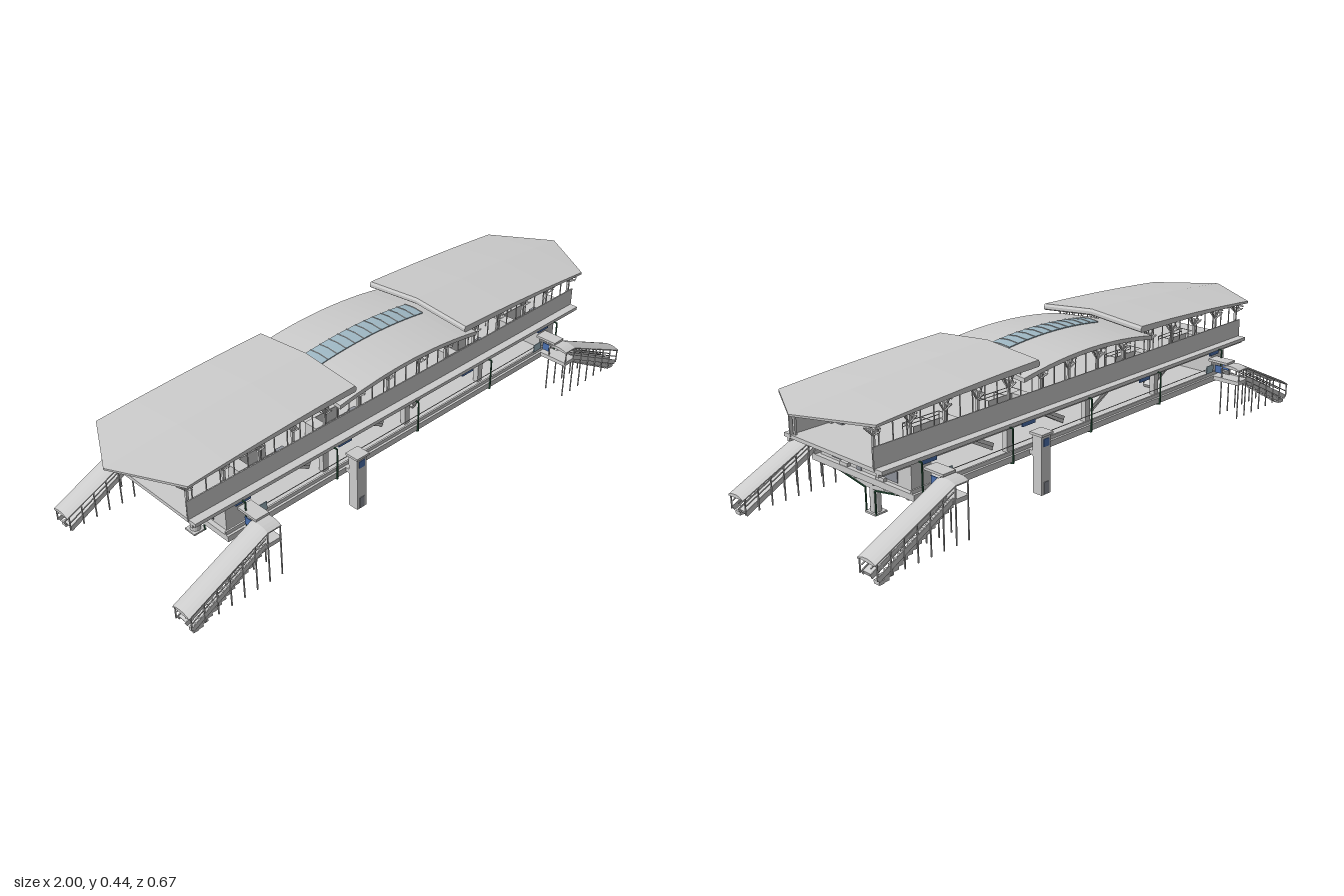
import * as THREE from 'three';

const paint = (color, side = THREE.FrontSide) => new THREE.MeshStandardMaterial({ color, side, flatShading: true });
const GREY = paint(0xcccccc), SHEET = paint(0xcccccc, THREE.DoubleSide);
const BLUE = paint(0x4a6fae), GLASS = paint(0x9fb8c4), GREEN = paint(0x2c5a40), DARK = paint(0x8c9098);
const ENDS = [-1, 1];

function add(parent, name, geo, mat = GREY) {
  const m = new THREE.Mesh(geo, mat);
  m.name = name;
  parent.add(m);
  return m;
}

// Box given by its limits on each axis, in either order
function box(parent, name, x0, x1, y0, y1, z0, z1, mat) {
  const m = add(parent, name, new THREE.BoxGeometry(Math.abs(x1 - x0), Math.abs(y1 - y0), Math.abs(z1 - z0)), mat);
  m.position.set((x0 + x1) / 2, (y0 + y1) / 2, (z0 + z1) / 2);
  return m;
}

// Straight member from p to q
function bar(parent, name, p, q, w = 0.004, h = w, mat = GREY) {
  const a = new THREE.Vector3(...p), b = new THREE.Vector3(...q);
  const m = add(parent, name, new THREE.BoxGeometry(w, h, a.distanceTo(b)), mat);
  m.position.copy(a).lerp(b, 0.5);
  m.lookAt(b);
  return m;
}

// Closed loft through equal-length loops, with capped ends
function loft(loops) {
  const n = loops[0].length, idx = [];
  for (let s = 0; s < loops.length - 1; s++) {
    for (let i = 0; i < n; i++) {
      const a = s * n + i, b = s * n + (i + 1) % n;
      idx.push(a, b, a + n, b, b + n, a + n);
    }
  }
  const last = (loops.length - 1) * n;
  for (let i = 1; i < n - 1; i++) idx.push(0, i + 1, i, last, last + i, last + i + 1);
  const g = new THREE.BufferGeometry();
  g.setAttribute('position', new THREE.Float32BufferAttribute(loops.flat(2), 3));
  g.setIndex(idx);
  const flat = g.toNonIndexed();
  flat.computeVertexNormals();
  return flat;
}

// Roof ridge heights: two rising end roofs and a lower arched middle one
const endRidge = x => { const u = (x - 0.25) / 0.75; return 0.445 - 0.02 * u - 0.025 * u * u; };
const midRidge = x => 0.428 - 0.028 * (x / 0.31) ** 2;
const HALF = 0.217, FALL = 0.02 / HALF;
const roofY = (x, z) => (Math.abs(x) > 0.27 ? endRidge(Math.abs(x)) : midRidge(x)) - FALL * Math.abs(z);

function gable(x, y, w, t) {
  const e = y - FALL * w;
  return [[x, y, 0], [x, e, w], [x, e - t, w], [x, y - t, 0], [x, e - t, -w], [x, e, -w]];
}

function roofs(g) {
  const end = [gable(0.245, endRidge(0.25) - 0.008, HALF, 0.01)];
  for (let i = 0; i <= 14; i++) {
    const x = 0.25 + 0.63 * i / 14;
    end.push(gable(x, endRidge(x), HALF, 0.022 - 0.014 * i / 14));
  }
  end.push(gable(1, endRidge(1), 0.002, 0.006));
  for (const s of ENDS) add(g, 'endRoof', loft(end), SHEET).rotation.y = s > 0 ? 0 : Math.PI;
  const mid = [], glass = [];
  for (let i = 0; i <= 16; i++) {
    const x = -0.31 + 0.62 * i / 16, k = -0.235 + 0.47 * i / 16;
    mid.push(gable(x, midRidge(x), HALF - 0.003, 0.014));
    glass.push(gable(k, midRidge(k) + 0.003, 0.04, 0.005));
  }
  add(g, 'middleRoof', loft(mid), SHEET);
  add(g, 'skylight', loft(glass), GLASS);
  for (let i = 0; i <= 12; i++) {
    const x = -0.235 + 0.47 * i / 12, y = midRidge(x) + 0.004;
    for (const s of ENDS) bar(g, 'skylightBar', [x, y, 0], [x, y - FALL * 0.04, s * 0.04], 0.002);
  }
}

// Roof frames: columns with forked arms and lattice trusses
function roofFrames(g) {
  for (const x of [-0.86, -0.73, -0.6, -0.47, -0.34, -0.2, -0.07, 0.07, 0.2, 0.34, 0.47, 0.6, 0.73, 0.86]) {
    const under = z => roofY(x, z) - 0.02;
    const low = z => Math.min(0.39, under(0) - 0.012) - 0.1 * Math.abs(z);
    for (const s of ENDS) {
      box(g, 'roofColumn', x - 0.004, x + 0.004, 0.255, low(0.178), s * 0.174, s * 0.182);
      for (const d of [-0.03, 0.03]) {
        bar(g, 'roofArm', [x, 0.345, s * 0.178], [x + d, roofY(x + d, 0.178) - 0.018, s * 0.178]);
        bar(g, 'roofStrut', [x, 0.345, s * 0.178], [x, low(0.15), s * (0.178 + d)]);
      }
      bar(g, 'trussTop', [x, under(0), 0], [x, under(0.21), s * 0.21]);
      bar(g, 'trussBottom', [x, low(0), 0], [x, low(0.205), s * 0.205]);
      for (let i = 0; i < 5; i++) {
        const z = i * 0.04;
        bar(g, 'trussWeb', [x, low(z), s * z], [x, under(z + 0.02), s * (z + 0.02)], 0.0025);
        bar(g, 'trussWeb', [x, under(z + 0.02), s * (z + 0.02)], [x, low(z + 0.04), s * (z + 0.04)], 0.0025);
      }
    }
  }
  for (const s of ENDS) for (const z of [-0.19, -0.1, 0.1, 0.19]) {
    for (let i = 0; i < 6; i++) {
      const a = 0.28 + i * 0.1, b = a + 0.1;
      bar(g, 'purlin', [s * a, roofY(a, z) - 0.022, z], [s * b, roofY(b, z) - 0.016, z]);
    }
  }
}

// Platform level: slab, parapets, screens, stair enclosures
function platform(g) {
  box(g, 'platformSlab', -0.87, 0.87, 0.243, 0.255, -0.22, 0.22);
  for (const z of ENDS) {
    box(g, 'parapet', -0.872, 0.872, 0.248, 0.318, z * 0.187, z * 0.191);
    box(g, 'edgeBeam', -0.87, 0.87, 0.232, 0.243, z * 0.195, z * 0.205);
    box(g, 'innerBeam', -0.75, 0.75, 0.23, 0.243, z * 0.08, z * 0.09);
    for (let i = 0; i <= 34; i++) {
      const x = -0.85 + i * 0.05;
      box(g, 'screenPost', x - 0.0015, x + 0.0015, 0.318, roofY(x, 0.189) - 0.008, z * 0.1875, z * 0.1905);
    }
    for (const x of [-0.6, -0.3, 0.3, 0.6]) {
      for (const k of [0.12, 0.167]) box(g, 'stairWall', x - 0.07, x + 0.07, 0.255, 0.303, z * k, z * (k + 0.003));
      box(g, 'stairHead', x - 0.07, x - 0.03, 0.255, 0.303, z * 0.12, z * 0.168);
      box(g, 'cabinet', x + 0.09, x + 0.12, 0.255, 0.283, z * 0.14, z * 0.168, DARK);
      for (const y of [0.292, 0.303]) bar(g, 'rail', [x - 0.07, y, z * 0.076], [x + 0.07, y, z * 0.076], 0.002);
      for (const d of [-0.07, 0, 0.07]) {
        box(g, 'railPost', x + d - 0.001, x + d + 0.001, 0.255, 0.304, z * 0.075, z * 0.077);
        bar(g, 'crossRail', [x + d, 0.303, z * 0.076], [x + d, 0.303, z * 0.12], 0.002);
      }
    }
    for (const x of [-0.285, -0.69, 0.285, 0.69]) box(g, 'sign', x - 0.028, x + 0.028, 0.225, 0.243, z * 0.205, z * 0.209, BLUE);
  }
}

// Concourse: deck, end rooms, inner columns and escalators
function concourse(g) {
  box(g, 'concourseDeck', -0.77, 0.77, 0.137, 0.157, -0.23, 0.23);
  for (const s of ENDS) {
    box(g, 'deckKerb', -0.77, 0.77, 0.157, 0.169, s * 0.216, s * 0.222);
    bar(g, 'deckRail', [-0.66, 0.185, s * 0.219], [0.66, 0.185, s * 0.219], 0.002);
    for (const z of [0.04, 0.09, 0.14, 0.19]) box(g, 'girder', -0.76, 0.76, 0.127, 0.138, s * z - 0.004, s * z + 0.004);
    box(g, 'endRoom', s * 0.68, s * 0.755, 0.157, 0.243, -0.205, 0.205);
    const panel = (name, y0, y1, z0, z1, mat) => box(g, name, s * 0.755, s * 0.758, y0, y1, s * z0, s * z1, mat);
    panel('endSign', 0.202, 0.232, -0.055, 0.055, BLUE);
    panel('endDoor', 0.157, 0.192, 0.013, 0.033, DARK);
    panel('endWindow', 0.165, 0.207, 0.088, 0.148, DARK);
    panel('endWindow', 0.165, 0.207, -0.148, -0.088, DARK);
    panel('smallWindow', 0.18, 0.195, -0.028, -0.01, DARK);
    panel('smallWindow', 0.18, 0.195, -0.052, -0.034, DARK);
    for (const z of ENDS) {
      box(g, 'endKerb', s * 0.755, s * 0.768, 0.157, 0.168, z * 0.065, z * 0.1);
      for (const [a, b] of [[0.2, 0.07], [0.52, 0.39]]) {
        bar(g, 'escalator', [s * a, 0.238, z * 0.14], [s * b, 0.165, z * 0.14], 0.035, 0.012);
        for (const k of [0.12, 0.16]) bar(g, 'escalatorSide', [s * a, 0.246, z * k], [s * b, 0.177, z * k], 0.003, 0.012);
      }
    }
  }
}

// Piers with tapered caps, concourse columns and drain pipes
function piers(g) {
  const cap = new THREE.Shape([[-0.23, 0.137], [-0.02, 0.1], [0.02, 0.1], [0.23, 0.137]].map(p => new THREE.Vector2(...p)));
  const capGeo = new THREE.ExtrudeGeometry(cap, { depth: 0.034, bevelEnabled: false }).translate(0, 0, -0.017).rotateY(Math.PI / 2);
  for (const x of [-0.72, -0.36, 0, 0.36, 0.72]) {
    add(g, 'pierCap', capGeo).position.x = x;
    add(g, 'pierColumn', new THREE.CylinderGeometry(0.017, 0.017, 0.085, 16)).position.set(x, 0.0625, 0);
    box(g, 'pierBase', x - 0.023, x + 0.023, 0.018, 0.024, -0.023, 0.023);
    for (const s of ENDS) {
      box(g, 'concourseColumn', x - 0.011, x + 0.011, 0.157, 0.243, s * 0.18, s * 0.2);
      const run = [[0.205, 0.245], [0.232, 0.245], [0.232, 0.134], [0.022, 0.098], [0.022, 0.02]];
      for (let i = 0; i < 4; i++) bar(g, 'drainPipe', [x + 0.018, run[i][1], s * run[i][0]], [x + 0.018, run[i + 1][1], s * run[i + 1][0]], 0.004, 0.004, GREEN);
    }
    box(g, 'crossBeam', x - 0.01, x + 0.01, 0.228, 0.243, -0.2, 0.2);
  }
}

// Covered stair and escalator with its link bridge, one per corner
function access(g, sx, sz) {
  const a = new THREE.Group();
  a.name = 'accessStair';
  g.add(a);
  const B = (name, x0, x1, y0, y1, z0, z1, mat) => box(a, name, sx * x0, sx * x1, y0, y1, sz * z0, sz * z1, mat);
  const L = (name, p, q, w, h, mat) => bar(a, name, [sx * p[0], p[1], sz * p[2]], [sx * q[0], q[1], sz * q[2]], w, h, mat);
  const arc = (x, y) => {
    const top = [], bottom = [];
    for (let i = 0; i <= 6; i++) {
      const t = i / 6 * 2 - 1, z = sz * (0.299 + 0.037 * t), h = y - 0.009 * t * t;
      top.push([sx * x, h, z]);
      bottom.unshift([sx * x, h - 0.004, z]);
    }
    return top.concat(bottom);
  };
  add(a, 'canopy', loft([arc(0.66, 0.208), arc(0.71, 0.208), arc(1, 0.075)]), SHEET);
  for (let i = 0; i < 16; i++) {
    const x = 0.985 - i * 0.0168, y = 0.002 + (i + 1) * 0.0093;
    B('step', x - 0.018, x, Math.max(0, y - 0.018), y, 0.308, 0.33);
  }
  L('escalator', [0.985, 0.018, 0.285], [0.715, 0.155, 0.285], 0.033, 0.014);
  for (const z of [0.267, 0.304, 0.333]) {
    L('balustrade', [0.99, 0.018, z], [0.715, 0.158, z], 0.003, 0.016);
    L('handrail', [0.99, 0.042, z], [0.715, 0.18, z], 0.003);
  }
  B('landing', 0.66, 0.72, 0.143, 0.157, 0.262, 0.335);
  B('linkFloor', 0.66, 0.71, 0.143, 0.157, 0.22, 0.265);
  B('linkRoof', 0.66, 0.71, 0.208, 0.216, 0.205, 0.285);
  for (const x of [0.66, 0.707]) B('linkGlass', x, x + 0.003, 0.173, 0.2, 0.235, 0.262, BLUE);
  B('landingWall', 0.62, 0.66, 0.172, 0.2, 0.225, 0.228, GLASS);
  for (const z of [0.263, 0.335]) {
    for (let i = 0; i < 8; i++) {
      const x = 0.664 + i * 0.047, y = x < 0.71 ? 0.198 : 0.198 - (x - 0.71) * 0.459;
      B('canopyPost', x - 0.002, x + 0.002, 0.018, y, z - 0.0015, z + 0.0015);
    }
  }
}

// Lift tower beside the deck, with a short bridge
function lift(g, x, s) {
  box(g, 'liftShaft', x - 0.02, x + 0.02, 0.018, 0.212, s * 0.243, s * 0.28);
  box(g, 'liftRoof', x - 0.026, x + 0.026, 0.21, 0.218, s * 0.235, s * 0.286);
  box(g, 'liftBridge', x - 0.02, x + 0.02, 0.143, 0.157, s * 0.22, s * 0.245);
  box(g, 'liftWindow', x - 0.012, x + 0.012, 0.175, 0.2, s * 0.28, s * 0.282, BLUE);
  box(g, 'liftDoor', x - 0.01, x + 0.01, 0.02, 0.06, s * 0.28, s * 0.282, DARK);
}

export function createModel() {
  const g = new THREE.Group();
  g.name = 'elevatedStation';
  for (const build of [roofs, roofFrames, platform, concourse, piers]) build(g);
  for (const sx of ENDS) for (const sz of ENDS) access(g, sx, sz);
  lift(g, -0.285, 1);
  lift(g, 0.285, -1);
  return g;
}
